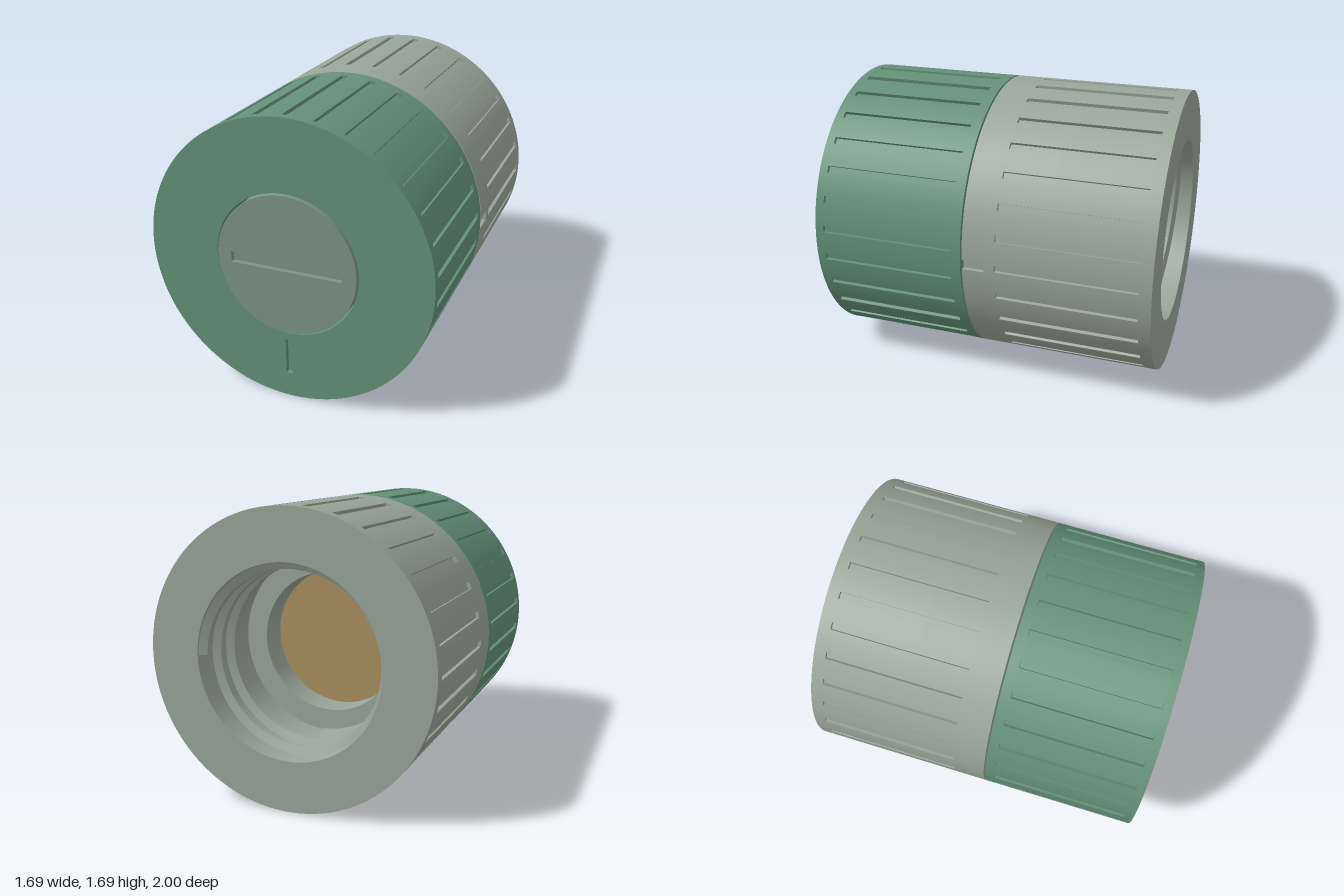
import * as THREE from 'three';
import { toCreasedNormals } from 'three/addons/utils/BufferGeometryUtils.js';

const R = 0.845;
const STEP = Math.PI / 15; // 30 grip grooves around each sleeve

const paint = (color) => new THREE.MeshStandardMaterial({ color });
const green = paint(0x659079);
const grey = paint(0x98a699);
const capColor = paint(0x7a9482);
const brass = paint(0xa89060);

// Circle outline with n notches cut into it (half-angle w, depth d)
function notchedCircle(n, phase, w, d) {
  const pts = [];
  const at = (r, a) => pts.push(new THREE.Vector2(r * Math.cos(a), r * Math.sin(a)));
  const segs = Math.round(240 / n);
  const pitch = (2 * Math.PI) / n;
  for (let k = 0; k < n; k++) {
    const a = phase + k * pitch;
    at(R - d, a - w);
    at(R - d, a + w);
    for (let i = 0; i <= segs; i++) at(R, a + w + (i / segs) * (pitch - 2 * w));
  }
  return new THREE.Shape(pts);
}

const circle = (r) => new THREE.Shape().absarc(0, 0, r, 0, 2 * Math.PI, false);
const bore = (r) => new THREE.Path().absarc(0, 0, r, 0, 2 * Math.PI, true);
const gripped = (phase) => notchedCircle(30, phase, 0.024, 0.02);

function slot(x, y, w, h) {
  return new THREE.Path([
    new THREE.Vector2(x - w / 2, y - h / 2),
    new THREE.Vector2(x - w / 2, y + h / 2),
    new THREE.Vector2(x + w / 2, y + h / 2),
    new THREE.Vector2(x + w / 2, y - h / 2),
  ]);
}

// One slice of a sleeve between two z positions
function slice(name, shape, holes, z0, z1, material) {
  shape.holes.push(...holes);
  const geo = new THREE.ExtrudeGeometry(shape, { depth: z1 - z0, bevelEnabled: false, curveSegments: 120 });
  geo.translate(0, 0, z0);
  const mesh = new THREE.Mesh(toCreasedNormals(geo, 0.5), material);
  mesh.name = name;
  return mesh;
}

function disc(name, r, z0, z1, material) {
  const geo = new THREE.CylinderGeometry(r, r, z1 - z0, 120).rotateX(Math.PI / 2);
  geo.translate(0, 0, (z0 + z1) / 2);
  const mesh = new THREE.Mesh(geo, material);
  mesh.name = name;
  return mesh;
}

// Helical ridge: a trapezoid section swept around the z axis
function thread(z0, pitch, turns) {
  const section = [[0.56, -0.045], [0.505, -0.02], [0.505, 0.02], [0.56, 0.045]];
  const steps = Math.round(turns * 80);
  const pos = [];
  const idx = [];
  for (let i = 0; i <= steps; i++) {
    const t = (i / steps) * turns;
    const a = t * 2 * Math.PI;
    for (const [r, dz] of section) pos.push(r * Math.cos(a), r * Math.sin(a), z0 + t * pitch + dz);
    if (i === steps) break;
    for (let j = 0; j < 3; j++) {
      const p = i * 4 + j;
      idx.push(p, p + 1, p + 4, p + 1, p + 5, p + 4);
    }
  }
  const e = steps * 4;
  idx.push(0, 2, 1, 0, 3, 2, e, e + 1, e + 2, e, e + 2, e + 3); // blunt ends
  const geo = new THREE.BufferGeometry();
  geo.setAttribute('position', new THREE.Float32BufferAttribute(pos, 3));
  geo.setIndex(idx);
  const mat = grey.clone();
  mat.side = THREE.DoubleSide;
  const mesh = new THREE.Mesh(toCreasedNormals(geo, 0.5), mat);
  mesh.name = 'innerThread';
  return mesh;
}

export function createModel() {
  const model = new THREE.Group();
  model.name = 'threadedKnob';
  model.position.y = R;

  // Front dial: grooved sleeve with an index slot on its face
  const dial = new THREE.Group();
  dial.name = 'frontDial';
  dial.add(
    slice('dialRearRim', circle(R), [bore(0.425)], 0.08, 0.14, green),
    slice('dialGrip', gripped(Math.PI / 2), [bore(0.425)], 0.14, 0.94, green),
    slice('dialFrontRim', circle(R), [bore(0.425)], 0.94, 0.96, green),
    slice('dialFace', circle(R), [bore(0.425), slot(0, -0.582, 0.04, 0.225)], 0.96, 0.99, green),
    disc('dialBoss', 0.785, 0.075, 0.09, green),
  );

  // Slotted centre cap, slightly proud of the dial face
  const cap = new THREE.Group();
  cap.name = 'centreCap';
  cap.add(
    disc('capBody', 0.415, 0.1, 0.97, capColor),
    slice('capFace', circle(0.415), [slot(0, 0, 0.665, 0.065)], 0.97, 1, capColor),
  );

  // Rear body: grooved sleeve, index notch at the seam, stepped bore
  const body = new THREE.Group();
  body.name = 'rearBody';
  body.add(
    slice('indexNotchRim', notchedCircle(1, 0, 0.035, 0.025), [bore(0.42)], -0.06, 0.07, grey),
    slice('bodyFrontRim', circle(R), [bore(0.42)], -0.12, -0.06, grey),
    slice('bodyGripFront', gripped(0), [bore(0.42)], -0.42, -0.12, grey),
    slice('bodyGripRear', gripped(0), [bore(0.55)], -0.93, -0.42, grey),
    slice('bodyRearRim', circle(R), [bore(0.55)], -1, -0.93, grey),
    disc('bodyBoss', 0.695, 0.06, 0.076, grey),
    thread(-0.95, 0.15, 2.75),
  );

  // Brass disc at the bottom of the bore
  model.add(dial, cap, body, disc('boreDisc', 0.42, -0.24, 0.05, brass));
  return model;
}
